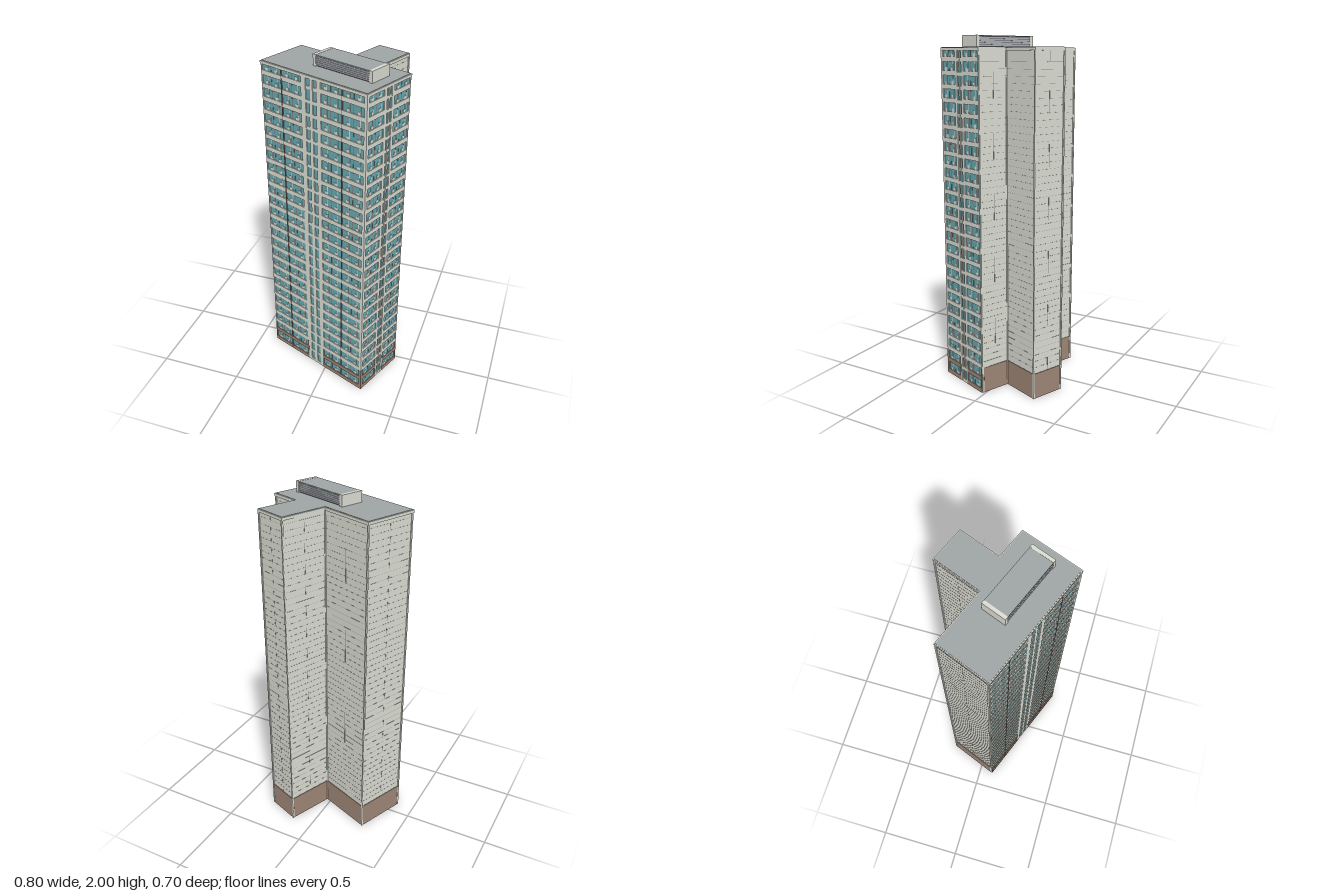
import * as THREE from 'three';
import { mergeGeometries } from 'three/addons/utils/BufferGeometryUtils.js';

const mat = (name, color) => {
  const m = new THREE.MeshStandardMaterial({ color });
  m.name = name;
  return m;
};

export function createModel() {
  const M = {
    wall: mat('pale concrete', 0xdbdcd2),
    brick: mat('brown base', 0x9f8677),
    glass: mat('teal glass', 0x68a8b0),
    roof: mat('roof grey', 0x9fa5a5),
    trim: mat('dark trim', 0x55565a),
    joint: mat('panel joint', 0x8d8e88),
    pipe: mat('red brown divider', 0x8a6a62),
    louver: mat('louver grey', 0xa9adb4),
  };
  const H = 1.935, FLOORS = 26, FH = H / FLOORS, BASE = 2 * FH;

  const model = new THREE.Group();
  model.name = 'apartmentTower';
  const tower = new THREE.Group();
  tower.name = 'tower';
  tower.rotation.y = -0.377; // the block stands turned on its plot
  model.add(tower);

  // Collects boxes per material, then merges them into named meshes
  const collector = () => {
    const lists = {};
    return {
      box(key, x0, x1, y0, y1, z0, z1) {
        const g = new THREE.BoxGeometry(x1 - x0, y1 - y0, z1 - z0);
        g.translate((x0 + x1) / 2, (y0 + y1) / 2, (z0 + z1) / 2);
        (lists[key] ||= []).push(g);
      },
      build(parent, names) {
        for (const key in lists) {
          const mesh = new THREE.Mesh(mergeGeometries(lists[key]), M[key]);
          mesh.name = names[key];
          parent.add(mesh);
        }
      },
    };
  };

  // T-shaped footprint, grown outward by d
  const outline = (d, x1 = 0.374, z1 = 0.221) => [
    [-0.338 - d, z1 + d], [x1 + d, z1 + d], [x1 + d, -0.13 - d], [0.191 + d, -0.13 - d],
    [0.191 + d, -0.37 - d], [-0.007 - d, -0.37 - d], [-0.007 - d, -0.091 - d], [-0.338 - d, -0.091 - d]];
  const prism = (name, pts, y0, y1, material) => {
    const shape = new THREE.Shape(pts.map(([x, z]) => new THREE.Vector2(x, -z)));
    const g = new THREE.ExtrudeGeometry(shape, { depth: y1 - y0, bevelEnabled: false });
    g.rotateX(-Math.PI / 2).translate(0, y0, 0);
    const mesh = new THREE.Mesh(g, material);
    mesh.name = name;
    tower.add(mesh);
  };
  const X1 = 0.369, Z1 = 0.216;
  const core = outline(0, X1, Z1);
  prism('towerCore', core, 0, H - 0.01, M.wall);
  prism('cornice', outline(0.005), H - 0.016, H, M.wall);
  prism('roofSlab', outline(0), H - 0.002, H + 0.003, M.roof);

  // Group lying on one side of the footprint: x along the wall, z outward
  const side = (i, name) => {
    const [ax, az] = core[i], [bx, bz] = core[(i + 1) % core.length];
    const g = new THREE.Group();
    g.name = name;
    g.position.set((ax + bx) / 2, 0, (az + bz) / 2);
    g.rotation.y = -Math.atan2(bz - az, bx - ax);
    tower.add(g);
    return [g, Math.hypot(bx - ax, bz - az)];
  };

  // Windowed facade: two glazed bays either side of a plain stair strip
  const facade = (i, name, c0, c1, slots, slotW, halves) => {
    const [g, L] = side(i, name), c = collector();
    const e = L / 2, D = 0.009, top = H - 0.014;
    c.box('glass', -e, e, 0.002, top, 0, 0.004);
    // stair strip with narrow windows
    let x = c0;
    for (const s of slots) {
      c.box('wall', x, s - slotW / 2, 0, top, 0, D);
      x = s + slotW / 2;
    }
    c.box('wall', x, c1, 0, top, 0, D);
    for (let f = 0; f < FLOORS; f++) {
      const y = f * FH, yTop = Math.min(y + FH, top), sill = y + 0.026;
      const skin = f < 2 ? 'brick' : 'wall';
      const out = f < 2 ? D + 0.001 : D;
      for (const s of slots) {
        c.box('wall', s - slotW / 2, s + slotW / 2, y, y + 0.018, 0, D - 0.001);
      }
      for (const [a, b] of [[-e, c0], [c1, e]]) {
        c.box(skin, a, b, y, sill, 0, out);              // spandrel
        c.box(skin, a, a + 0.008, sill, yTop, 0, out);   // end piers
        c.box(skin, b - 0.008, b, sill, yTop, 0, out);
        const w = (b - a) / halves;
        for (let h = 0; h < halves; h++) {
          const at = (t) => a + w * (h + t);
          // low sill panels, each beside a window frame
          for (const [p, q] of [[0.2, 0.32], [0.66, 0.78]]) {
            c.box('wall', at(p), at(q), sill, sill + 0.018, 0, 0.006);
            c.box('wall', at(q) - 0.002, at(q) + 0.002, sill, yTop, 0, 0.006);
          }
          c.box('pipe', at(0.48), at(0.48) + 0.002, sill, yTop, 0, 0.005);
        }
      }
    }
    // slim vertical divider in the middle of each wide bay
    if (halves > 1) {
      for (const m of [(c0 - e) / 2, (c1 + e) / 2]) {
        c.box('pipe', m - 0.002, m + 0.002, 0, top, 0, D + 0.0015);
      }
    }
    c.build(g, { glass: 'windowGlass', wall: 'facadePanels', brick: 'basePanels',
      pipe: 'bayDividers' });
  };
  facade(0, 'frontFacade', -0.061, 0.057, [-0.024, 0.024], 0.026, 2);
  facade(1, 'leftFacade', -0.037, 0.028, [-0.017, 0.008], 0.015, 1);

  // Post closing the corner between the two facades
  const post = collector();
  post.box('brick', X1, X1 + 0.01, 0, BASE, Z1, Z1 + 0.01);
  post.box('wall', X1, X1 + 0.009, BASE, H - 0.014, Z1, Z1 + 0.009);
  post.build(tower, { brick: 'cornerPostBase', wall: 'cornerPost' });

  // Blank walls: brown base, corner posts and thin panel joints
  const wallNames = ['backLeftWall', 'wingLeftWall', 'wingBackWall', 'wingRightWall',
    'backRightWall', 'rightWall'];
  wallNames.forEach((name, k) => {
    const [g, L] = side(k + 2, name), c = collector(), e = L / 2, top = H - 0.014;
    c.box('brick', -e + 0.006, e - 0.006, 0, BASE, 0, 0.003);
    for (const s of [-1, 1]) {
      c.box('wall', s * e - 0.005, s * e + 0.005, 0, top, -0.004, 0.004);
    }
    for (let f = 4; f < FLOORS * 2; f++) {
      const y = (f * FH) / 2;
      c.box('joint', -e + 0.006, e - 0.006, y, y + 0.001, 0, 0.0006);
    }
    c.box('joint', -0.0005, 0.0005, BASE, top, 0, 0.0006);
    c.build(g, { brick: 'wallBase', wall: 'cornerStrips', joint: 'panelJoints' });
  });

  // Rooftop plant room: pale end walls, grey lid, louvered long sides
  const plant = new THREE.Group();
  plant.name = 'plantRoom';
  tower.add(plant);
  const p = collector(), x0 = -0.073, x1 = 0.314, z0 = -0.031, z1 = 0.108;
  p.box('wall', x0, x0 + 0.02, H, 2, z0, z1);
  p.box('wall', x1 - 0.02, x1, H, 2, z0, z1);
  p.box('roof', x0 + 0.02, x1 - 0.02, 1.993, 1.999, z0 + 0.001, z1 - 0.001);
  p.box('trim', x0 + 0.02, x1 - 0.02, H, 1.993, z0 + 0.008, z1 - 0.008);
  for (let i = 0; i < 5; i++) {
    const y = 1.942 + i * 0.01;
    p.box('louver', x0 + 0.02, x1 - 0.02, y, y + 0.0085, z0 + 0.003, z1 - 0.003);
  }
  p.build(plant, { wall: 'plantEndWalls', roof: 'plantLid', trim: 'plantCore',
    louver: 'louverBlades' });

  return model;
}
